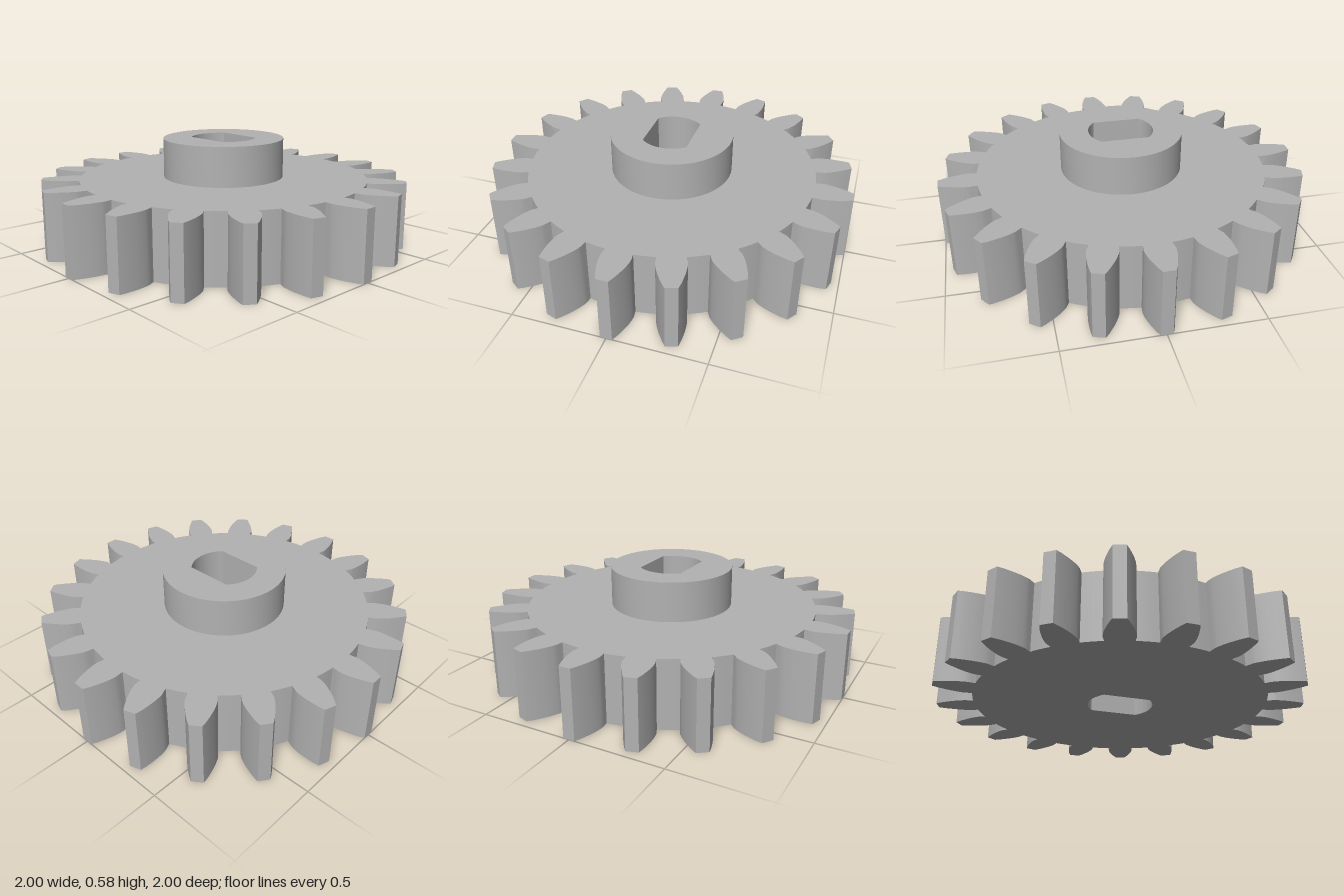
import * as THREE from 'three';
import { toCreasedNormals } from 'three/addons/utils/BufferGeometryUtils.js';

const TEETH = 20, ROOT = 0.795;
const GEAR_TOP = 0.364, HUB_TOP = 0.578, HUB_RADIUS = 0.333;
const BORE_RADIUS = 0.177, BORE_FLAT = 0.122;

// Right flank of one tooth, root to tip: [half width, distance from centre]
const FLANK = [
  [0.070, 0.792], [0.072, 0.81], [0.0755, 0.83], [0.0745, 0.85], [0.070, 0.88],
  [0.063, 0.91], [0.054, 0.94], [0.044, 0.97], [0.031, 1.0],
];

// Round bore with two parallel flats
function borePath() {
  const a = Math.asin(BORE_FLAT / BORE_RADIUS);
  const path = new THREE.Path();
  path.absarc(0, 0, BORE_RADIUS, -a, a, false);
  path.absarc(0, 0, BORE_RADIUS, Math.PI - a, Math.PI + a, false);
  path.closePath();
  return path;
}

// Outline of the toothed wheel, counter-clockwise
function gearShape() {
  const pts = [];
  const step = (Math.PI * 2) / TEETH;
  const rootHalf = Math.atan2(FLANK[0][0], FLANK[0][1]);
  const tooth = [...FLANK, ...FLANK.map(([w, r]) => [-w, r]).reverse()];
  for (let i = 0; i < TEETH; i++) {
    const a = i * step, c = Math.cos(a), s = Math.sin(a);
    for (const [w, r] of tooth) pts.push(new THREE.Vector2(r * c + w * s, r * s - w * c));
    // root arc up to the next tooth
    for (let k = 1; k < 5; k++) {
      const b = a + rootHalf + (step - 2 * rootHalf) * (k / 5);
      pts.push(new THREE.Vector2(ROOT * Math.cos(b), ROOT * Math.sin(b)));
    }
  }
  return new THREE.Shape(pts);
}

function hubShape() {
  const shape = new THREE.Shape();
  shape.absarc(0, 0, HUB_RADIUS, 0, Math.PI * 2, false);
  return shape;
}

// Upright extrusion with the bore cut through it
function boredPart(name, shape, bottom, top, material) {
  shape.holes.push(borePath());
  let geo = new THREE.ExtrudeGeometry(shape, {
    depth: top - bottom, bevelEnabled: false, curveSegments: 32, steps: 1,
  });
  geo.rotateX(-Math.PI / 2);
  geo.translate(0, bottom, 0);
  geo = toCreasedNormals(geo, Math.PI / 7);
  const mesh = new THREE.Mesh(geo, material);
  mesh.name = name;
  return mesh;
}

export function createModel() {
  const grey = new THREE.MeshStandardMaterial({ color: 0xb2b2b2 });
  grey.name = 'grey';
  const group = new THREE.Group();
  group.name = 'spurGear';
  group.add(
    boredPart('toothedWheel', gearShape(), 0, GEAR_TOP, grey),
    boredPart('hub', hubShape(), GEAR_TOP, HUB_TOP, grey),
  );
  return group;
}
